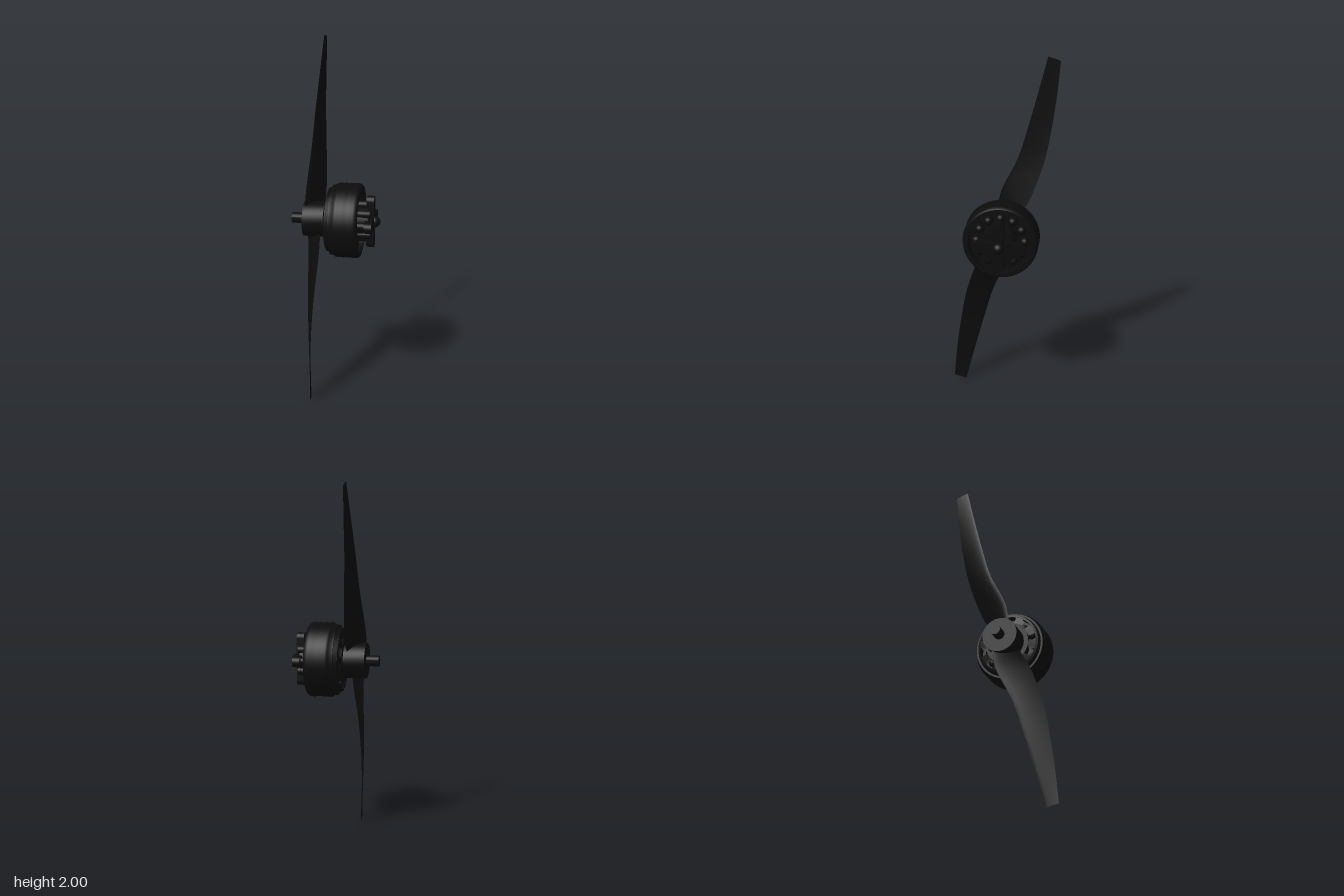
import * as THREE from 'three';
import { toCreasedNormals } from 'three/addons/utils/BufferGeometryUtils.js';

const black = new THREE.MeshStandardMaterial({ color: 0x0c0c0c, side: THREE.DoubleSide });
black.name = 'black';

function add(parent, name, geometry) {
  const mesh = new THREE.Mesh(geometry, black);
  mesh.name = name;
  parent.add(mesh);
  return mesh;
}

// Turned part about the x axis; profile points are [x, radius]
function turned(profile, start = 0, length = Math.PI * 2, segments = 48) {
  const pts = profile.map(([x, r]) => new THREE.Vector2(r, x));
  const g = new THREE.LatheGeometry(pts, segments, start, length).rotateZ(-Math.PI / 2);
  return toCreasedNormals(g, 0.6);
}

// Twisted aerofoil lofted between a leading and a trailing edge
function bladeGeometry() {
  const curve = (pts) => new THREE.CatmullRomCurve3(pts.map((p) => new THREE.Vector3(...p)));
  const lead = curve([
    [-0.17, 0.04, 0.06], [-0.168, 0.12, 0.045], [-0.163, 0.2, 0.026], [-0.15, 0.4, -0.068],
    [-0.138, 0.6, -0.128], [-0.122, 0.8, -0.182], [-0.105, 1.0, -0.233]]);
  const trail = curve([
    [-0.08, 0.04, -0.07], [-0.077, 0.11, -0.105], [-0.077, 0.18, -0.143], [-0.092, 0.4, -0.22],
    [-0.101, 0.6, -0.259], [-0.102, 0.79, -0.285], [-0.102, 0.98, -0.303]]);
  const rows = 30, half = 8, ring = half * 2;
  const pos = [], idx = [];
  for (let i = 0; i <= rows; i++) {
    const a = lead.getPoint(i / rows), b = trail.getPoint(i / rows);
    const chord = b.clone().sub(a);
    const normal = new THREE.Vector3(0, 1, 0).cross(chord).normalize();
    const thick = THREE.MathUtils.lerp(0.012, 0.002, i / rows);
    for (let j = 0; j < ring; j++) {
      const side = j <= half ? 1 : -1;
      const u = (1 - Math.cos(Math.PI * (j <= half ? j : ring - j) / half)) / 2;
      const offset = thick * (side * 2.2 * Math.sqrt(u) * (1 - u) + 0.8 * u * (1 - u));
      const p = a.clone().addScaledVector(chord, u).addScaledVector(normal, offset);
      pos.push(p.x, p.y, p.z);
    }
  }
  for (let i = 0; i < rows; i++) {
    for (let j = 0; j < ring; j++) {
      const k = (j + 1) % ring, p = i * ring, q = p + ring;
      idx.push(p + j, p + k, q + j, p + k, q + k, q + j);
    }
  }
  const tip = rows * ring;
  for (let j = 1; j < ring - 1; j++) idx.push(tip, tip + j, tip + j + 1);
  const g = new THREE.BufferGeometry();
  g.setAttribute('position', new THREE.Float32BufferAttribute(pos, 3));
  g.setIndex(idx);
  g.computeVertexNormals();
  return toCreasedNormals(g, 0.9);
}

export function createModel() {
  const model = new THREE.Group();
  model.name = 'propellerMotor';
  const unit = new THREE.Group();
  unit.name = 'assembly';
  unit.position.y = 1;
  model.add(unit);

  // Propeller: two blades, hub and shaft
  const blade = bladeGeometry();
  for (let i = 0; i < 2; i++) add(unit, 'blade', blade).rotation.x = i * Math.PI;
  add(unit, 'hub', turned([[-0.18, 0], [-0.18, 0.1], [-0.06, 0.1], [-0.06, 0]]));
  add(unit, 'shaft', turned([[-0.25, 0], [-0.25, 0.03], [0.22, 0.03], [0.22, 0]], 0, Math.PI * 2, 24));

  // Bell: outer can open at the rear, with a spoked front
  add(unit, 'bellCan', turned([
    [-0.02, 0.165], [-0.02, 0.197], [-0.002, 0.2], [0.008, 0.207], [0.02, 0.211], [0.035, 0.208],
    [0.05, 0.211], [0.07, 0.208], [0.09, 0.209], [0.12, 0.211], [0.135, 0.208], [0.143, 0.2],
    [0.143, 0.18], [-0.02, 0.18]], 0, Math.PI * 2, 64));
  add(unit, 'bellFrontRim', turned([
    [-0.048, 0.165], [-0.043, 0.178], [-0.02, 0.186], [-0.015, 0.165], [-0.048, 0.165]]));
  add(unit, 'bellFrontHub', turned([[-0.058, 0], [-0.058, 0.125], [-0.05, 0.128], [-0.02, 0.11], [-0.02, 0]]));
  const spokes = 10;
  for (let i = 0; i < spokes; i++) {
    const step = (Math.PI * 2) / spokes;
    add(unit, 'bellSpoke', turned([
      [-0.058, 0.12], [-0.043, 0.178], [-0.02, 0.178], [-0.03, 0.12], [-0.058, 0.12]],
    i * step, step * 0.45, 4));
  }

  // Stator with a ring of coils inside the bell
  add(unit, 'statorCore', turned([[-0.01, 0], [-0.01, 0.1], [0.13, 0.1], [0.13, 0]]));
  add(unit, 'statorPlate', turned([[0.03, 0.09], [0.03, 0.178], [0.09, 0.178], [0.09, 0.09]]));
  const coil = new THREE.CapsuleGeometry(0.026, 0.07, 4, 12).rotateZ(Math.PI / 2);
  for (let i = 0; i < 12; i++) {
    const a = (i / 12) * Math.PI * 2;
    add(unit, 'coil', coil).position.set(0.07, Math.cos(a) * 0.135, Math.sin(a) * 0.135);
  }

  // Rear mount: base, cross arms with rounded ends, bolts and domed shaft end
  add(unit, 'mountBase', turned([[0.12, 0], [0.12, 0.095], [0.19, 0.085], [0.19, 0]]));
  const arm = new THREE.BoxGeometry(0.042, 0.12, 0.06).translate(0.196, 0.06, 0);
  const armEnd = new THREE.CylinderGeometry(0.03, 0.03, 0.042, 24)
    .rotateZ(Math.PI / 2).translate(0.196, 0.12, 0);
  const post = new THREE.CylinderGeometry(0.022, 0.022, 0.06, 20)
    .rotateZ(Math.PI / 2).translate(0.15, 0.097, 0);
  const bolt = new THREE.CylinderGeometry(0.022, 0.022, 0.07, 20)
    .rotateZ(Math.PI / 2).translate(0.165, 0.085, 0);
  for (let i = 0; i < 4; i++) {
    const a = (i * Math.PI) / 2;
    add(unit, 'mountArm', arm).rotation.x = a;
    add(unit, 'mountArmEnd', armEnd).rotation.x = a;
    add(unit, 'mountPost', post).rotation.x = a;
    add(unit, 'mountBolt', bolt).rotation.x = a + Math.PI / 4;
  }
  const dome = add(unit, 'shaftDome', new THREE.SphereGeometry(0.033, 24, 16));
  dome.position.x = 0.217;
  return model;
}
